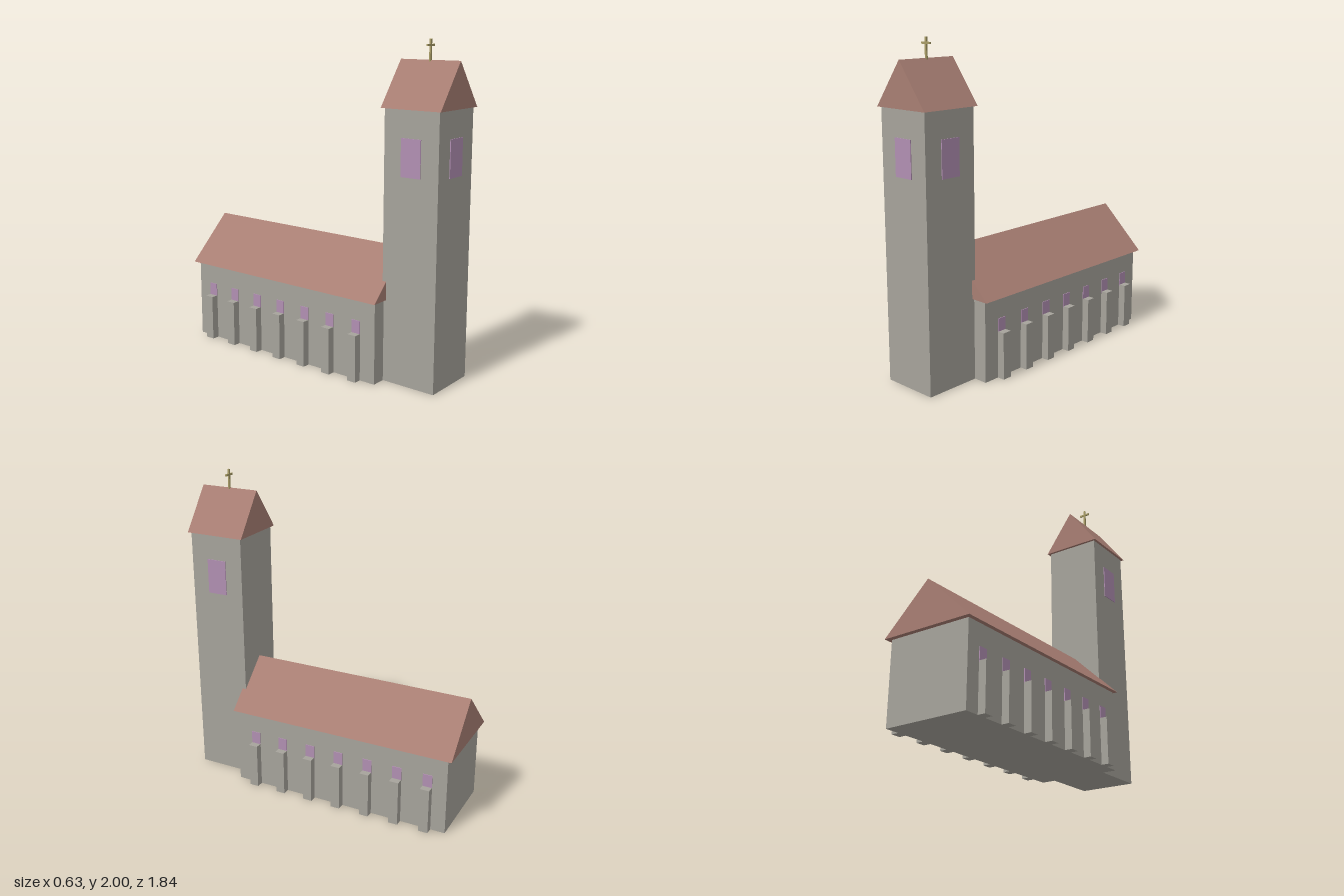
import * as THREE from 'three';

const material = (name, color) => {
  const m = new THREE.MeshStandardMaterial({ color });
  m.name = name;
  return m;
};

export function createModel() {
  const stone = material('stone', 0xa6a39b);
  const tile = material('roofTile', 0xa87e73);
  const glass = material('windowGlass', 0xb18fb2);
  const brass = material('brass', 0xa89c66);

  const model = new THREE.Group();
  model.name = 'church';

  const add = (name, geometry, mat, x, y, z) => {
    const mesh = new THREE.Mesh(geometry, mat);
    mesh.name = name;
    mesh.position.set(x, y, z);
    model.add(mesh);
    return mesh;
  };
  // Box given by its centre in x and z and its underside in y
  const box = (name, mat, w, h, d, x, y, z) =>
    add(name, new THREE.BoxGeometry(w, h, d), mat, x, y + h / 2, z);

  // Closed gable roof with its ridge along z
  const gable = (name, halfWidth, height, z0, z1, y) => {
    const shape = new THREE.Shape([
      new THREE.Vector2(-halfWidth, 0),
      new THREE.Vector2(halfWidth, 0),
      new THREE.Vector2(0, height),
    ]);
    const geometry = new THREE.ExtrudeGeometry(shape, { depth: z1 - z0, bevelEnabled: false });
    add(name, geometry, tile, 0, y, z0);
  };

  // Nave
  box('naveWalls', stone, 0.536, 0.5, 1.445, 0, 0, -0.168);
  gable('naveRoof', 0.295, 0.285, -0.92, 0.57, 0.5);

  // Tower
  const towerZ = 0.725;
  box('towerWalls', stone, 0.358, 1.62, 0.36, 0, 0, towerZ);
  gable('towerRoof', 0.196, 0.265, 0.528, 0.92, 1.62);

  // Tower windows on the front and both sides
  box('towerWindowFront', glass, 0.13, 0.22, 0.008, 0, 1.24, 0.906);
  for (const side of [-1, 1]) {
    const label = side > 0 ? 'Left' : 'Right';
    box('towerWindow' + label, glass, 0.008, 0.22, 0.13, side * 0.18, 1.24, towerZ);

    // Buttresses along the nave, each with a window above it
    for (let i = 0; i < 7; i++) {
      const z = 0.42 - i * 0.198;
      box('buttress' + label, stone, 0.05, 0.29, 0.06, side * 0.29, 0, z);
      box('naveWindow' + label, glass, 0.008, 0.09, 0.06, side * 0.2685, 0.28, z);
    }
  }

  // Cross on the tower ridge
  box('crossPost', brass, 0.013, 0.13, 0.01, 0, 1.87, towerZ);
  box('crossBar', brass, 0.07, 0.012, 0.01, 0, 1.96, towerZ);

  return model;
}
